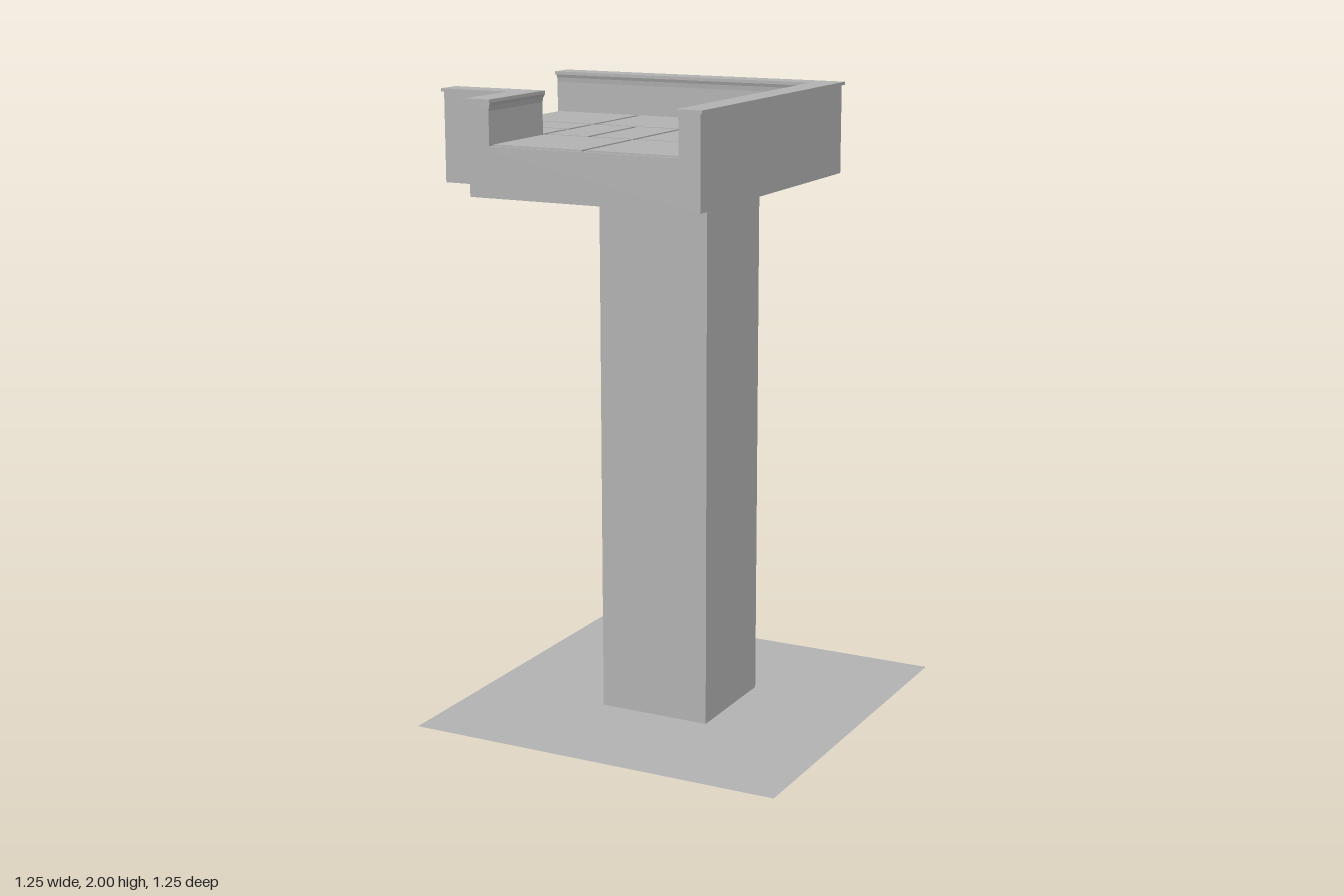
import * as THREE from 'three';

const END = 0.62;      // open ends of the platform
const OUT = 0.38;      // outer wall faces
const WALL = 0.069;    // wall thickness
const FLOOR = 1.863, TILE = 1.868;

// Sweeps a closed profile of [inset, y] along an L: a leg in x, a mitred corner, a leg in z.
// side = 1 insets towards (-x, +z), side = -1 towards (+x, -z).
function sweepCorner(profile, cx, cz, side, end) {
  const pts = side > 0 ? profile : [...profile].reverse();
  const rings = [
    pts.map(([o, y]) => [-end, y, cz + side * o]),
    pts.map(([o, y]) => [cx - side * o, y, cz + side * o]),
    pts.map(([o, y]) => [cx - side * o, y, end]),
  ];
  const pos = [];
  const tri = (a, b, c) => pos.push(...a, ...b, ...c);
  const n = pts.length;
  for (let r = 0; r < 2; r++) {
    for (let i = 0; i < n; i++) {
      const j = (i + 1) % n, p = rings[r], q = rings[r + 1];
      tri(p[i], q[i], p[j]);
      tri(p[j], q[i], q[j]);
    }
  }
  for (let i = 1; i < n - 1; i++) {
    tri(rings[0][0], rings[0][i], rings[0][i + 1]);
    tri(rings[2][0], rings[2][i + 1], rings[2][i]);
  }
  const geo = new THREE.BufferGeometry();
  geo.setAttribute('position', new THREE.Float32BufferAttribute(pos, 3));
  geo.computeVertexNormals();
  return geo;
}

export function createModel() {
  const group = new THREE.Group();
  const stone = new THREE.MeshStandardMaterial({ color: 0xb2b2b2, side: THREE.DoubleSide });
  stone.name = 'grey stone';

  const add = (name, geo, x = 0, y = 0, z = 0) => {
    const mesh = new THREE.Mesh(geo, stone);
    mesh.name = name;
    mesh.position.set(x, y, z);
    group.add(mesh);
    return mesh;
  };

  // Ground sheet
  add('groundSheet', new THREE.PlaneGeometry(1.245, 1.245).rotateX(-Math.PI / 2), 0.002, 0, -0.003);

  // Square pillar
  add('pillar', new THREE.BoxGeometry(0.372, 1.71, 0.372), 0, 0.855, 0);

  // Platform slab with one corner cut away (shape y becomes -z)
  const outline = new THREE.Shape([
    [-END, OUT], [-END, -OUT], [-OUT, -OUT], [-OUT, -END], [OUT, -END], [OUT, OUT],
  ].map(([x, y]) => new THREE.Vector2(x, y)));
  const slab = new THREE.ExtrudeGeometry(outline, { depth: FLOOR - 1.71, bevelEnabled: false });
  add('platformSlab', slab.rotateX(-Math.PI / 2), 0, 1.71, 0);

  // Parapets with a small cove under an overhanging coping
  const wallProfile = [
    [0, FLOOR], [WALL, FLOOR], [WALL, 1.965], [WALL + 0.002, 1.98], [WALL + 0.006, 1.99], [0, 1.99],
  ];
  const copingProfile = [
    [-0.008, 1.99], [WALL + 0.006, 1.99], [WALL + 0.006, 2], [-0.008, 2],
  ];
  for (const [name, cx, side] of [['outer', OUT, 1], ['notch', -OUT, -1]]) {
    add(name + 'Parapet', sweepCorner(wallProfile, cx, -cx, side, END));
    add(name + 'Coping', sweepCorner(copingProfile, cx, -cx, side, 0.626));
  }

  // Paving tiles: x0, x1, z0, z1
  const cols = [[-0.612, -0.317], [-0.302, -0.005], [0.01, 0.311]];
  const rows = [[-0.311, -0.013], [0.002, 0.3], [0.314, 0.611]];
  const split = ([a, b]) => [[a, (a + b) / 2 - 0.007], [(a + b) / 2 + 0.007, b]];
  const tiles = [];
  cols.forEach((c, i) => rows.forEach((r, j) => {
    if (i === 0 && j === 2) return; // cut-away corner
    if (i === 0 && j === 1) split(r).forEach((h) => tiles.push([...c, ...h]));
    else if (i === 1 && j === 1) split(c).forEach((h) => tiles.push([...h, ...r]));
    else tiles.push([...c, ...r]);
  }));
  for (const [x0, x1, z0, z1] of tiles) {
    add('pavingTile', new THREE.BoxGeometry(x1 - x0, TILE - FLOOR, z1 - z0),
      (x0 + x1) / 2, (TILE + FLOOR) / 2, (z0 + z1) / 2);
  }

  return group;
}
